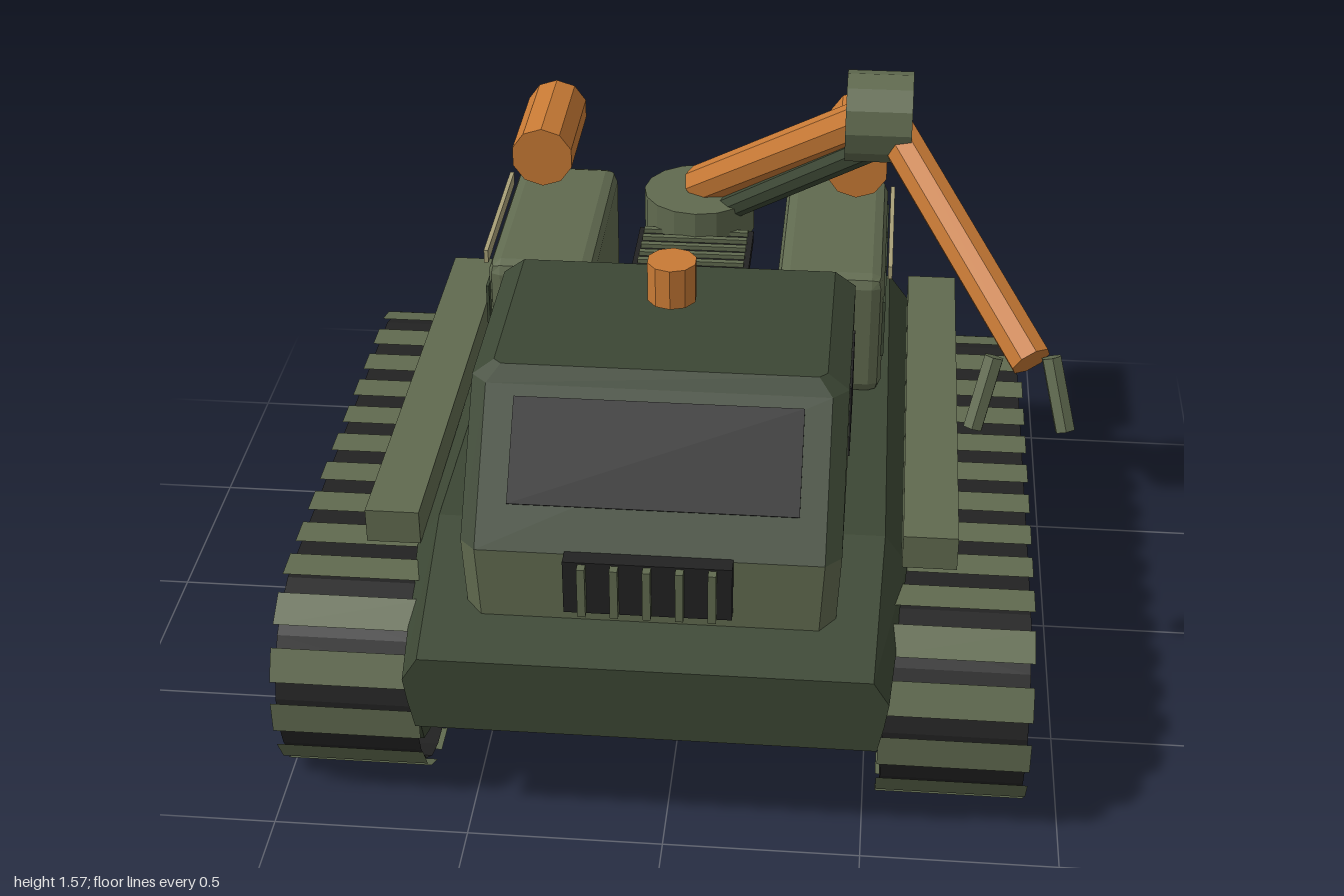
import * as THREE from 'three';
import { RoundedBoxGeometry } from 'three/addons/geometries/RoundedBoxGeometry.js';

const paint = (name, color, extra = {}) => {
  const m = new THREE.MeshStandardMaterial({ color, ...extra });
  m.name = name;
  return m;
};

// Faceted normals
function facet(geo) {
  const g = geo.index ? geo.toNonIndexed() : geo;
  g.computeVertexNormals();
  return g;
}

// Skin between cross-sections, capped at both ends; pick(ring, edge) gives a material index
function loft(rings, pick = () => 0) {
  const geo = new THREE.BufferGeometry();
  const pos = [];
  const n = rings[0].length;
  const add = (slot, ...pts) => {
    geo.addGroup(pos.length / 3, pts.length, slot);
    pts.forEach(p => pos.push(...p));
  };
  for (let i = 0; i < rings.length - 1; i++) {
    for (let k = 0; k < n; k++) {
      const a = rings[i][k], b = rings[i][(k + 1) % n];
      const c = rings[i + 1][(k + 1) % n], d = rings[i + 1][k];
      add(pick(i, k), a, b, c, a, c, d);
    }
  }
  const first = rings[0], last = rings[rings.length - 1];
  for (let k = 1; k < n - 1; k++) {
    add(pick(0, 0), first[0], first[k + 1], first[k]);
    add(pick(rings.length - 2, 0), last[0], last[k], last[k + 1]);
  }
  geo.setAttribute('position', new THREE.Float32BufferAttribute(pos, 3));
  geo.computeVertexNormals();
  return geo;
}

export function createModel() {
  const model = new THREE.Group();
  model.name = 'trackedVehicle';
  const body = new THREE.Group();
  body.name = 'vehicle';
  body.position.x = -0.045;
  model.add(body);

  const dark = paint('darkGreen', 0x3c4734);
  const light = paint('lightGreen', 0x606a4f);
  const orange = paint('orange', 0xc87a35);
  const black = paint('black', 0x222222);
  const beige = paint('beige', 0xa8a078);
  const belt = paint('beltBlack', 0x222222, { side: THREE.DoubleSide });
  const pad = paint('padGreen', 0x606a4f, { side: THREE.DoubleSide });

  const part = (name, geo, mat, x = 0, y = 0, z = 0, parent = body) => {
    const m = new THREE.Mesh(geo, mat);
    m.name = name;
    m.position.set(x, y, z);
    parent.add(m);
    return m;
  };
  const box = (name, mat, w, h, d, x, y, z) =>
    part(name, new THREE.BoxGeometry(w, h, d), mat, x, y, z);
  // Cylinder between two points
  const rod = (name, mat, r, sides, a, b) => {
    const p = new THREE.Vector3(...a), q = new THREE.Vector3(...b);
    const dir = q.clone().sub(p);
    const m = part(name, facet(new THREE.CylinderGeometry(r, r, dir.length(), sides)), mat);
    m.position.copy(p).add(q).multiplyScalar(0.5);
    m.quaternion.setFromUnitVectors(new THREE.Vector3(0, 1, 0), dir.normalize());
    return m;
  };

  // Hull: eight-sided section tapering to a sloped nose
  const hullRing = (z, half, y) => {
    const right = half.map((h, i) => [h, y[i], z]);
    return [...right, ...right.map(([x, py]) => [-x, py, z]).reverse()];
  };
  part('hull', loft([
    hullRing(-0.86, [0.575, 0.605, 0.62, 0.565], [0.325, 0.4, 0.58, 0.655]),
    hullRing(0.53, [0.575, 0.605, 0.635, 0.575], [0.325, 0.4, 0.575, 0.66]),
    hullRing(0.975, [0.575, 0.59, 0.6, 0.56], [0.325, 0.4, 0.47, 0.535]),
  ]), dark);

  // Cab: light lower body and sides, dark windscreen frame and roof
  const cabRing = (y, h, zf, c) => [
    [h, y, zf - c], [h, y, -0.01], [-h, y, -0.01],
    [-h, y, zf - c], [-h + c, y, zf], [h - c, y, zf],
  ];
  part('cab', loft([
    cabRing(0.575, 0.46, 0.83, 0.04), cabRing(0.77, 0.47, 0.83, 0.04),
    cabRing(1.085, 0.47, 0.56, 0.04), cabRing(1.125, 0.415, 0.53, 0.02),
  ], (ring, edge) => (ring === 0 || (ring === 1 && edge < 3) ? 0 : 1)), [light, dark]);
  const screen = box('windscreen', black, 0.72, 0.268, 0.009, 0.003, 0.962, 0.67);
  screen.rotation.x = -Math.atan2(0.27, 0.315);
  box('frontGrille', black, 0.415, 0.15, 0.045, 0, 0.7, 0.848);
  for (let i = -2; i <= 2; i++) box('grilleBar', light, 0.02, 0.14, 0.025, i * 0.08, 0.7, 0.882);
  part('roofHatch', facet(new THREE.CylinderGeometry(0.065, 0.065, 0.11, 10)), orange, 0, 1.195, 0.19);

  // Engine vent behind the cab
  box('engineVent', black, 0.33, 0.03, 0.28, 0, 0.925, -0.43);
  for (let i = 0; i < 6; i++) box('ventSlat', light, 0.3, 0.015, 0.018, 0, 0.945, -0.545 + i * 0.046);

  // Parts mirrored on both sides
  const wheelGeo = facet(new THREE.CylinderGeometry(0.215, 0.215, 0.34, 8).rotateZ(Math.PI / 2));
  const hubGeo = facet(new THREE.CylinderGeometry(0.09, 0.09, 0.355, 8).rotateZ(Math.PI / 2));
  const boxGeo = facet(new RoundedBoxGeometry(0.295, 0.37, 0.635, 1, 0.035));
  const exhaustGeo = facet(new THREE.CylinderGeometry(0.09, 0.09, 0.345, 10).rotateX(Math.PI / 2));

  // Belt: open ring stretched between the end wheels
  const run = 0.615, padR = 0.28, midY = 0.285, midZ = 0.025;
  const ring = new THREE.CylinderGeometry(0.266, 0.266, 0.36, 20, 1, true, Math.PI / 20).rotateZ(Math.PI / 2);
  const rp = ring.attributes.position;
  for (let i = 0; i < rp.count; i++) rp.setZ(i, rp.getZ(i) + Math.sign(rp.getZ(i)) * run);
  const beltGeo = facet(ring);
  const padGeo = new THREE.PlaneGeometry(0.38, 0.088).rotateX(-Math.PI / 2);

  // Place on the belt path: z, y and outward angle from the top towards the front
  const arc = Math.PI * padR, loop = 4 * run + 2 * arc;
  const onPath = s => {
    if (s < 2 * run) return [s - run, padR, 0];
    s -= 2 * run;
    if (s < arc) return [run + padR * Math.sin(s / padR), padR * Math.cos(s / padR), s / padR];
    s -= arc;
    if (s < 2 * run) return [run - s, -padR, Math.PI];
    const a = Math.PI + (s - 2 * run) / padR;
    return [-run + padR * Math.sin(a), padR * Math.cos(a), a];
  };

  for (const s of [1, -1]) {
    const tx = s * 0.767;
    const track = new THREE.Group();
    track.name = s > 0 ? 'leftTrack' : 'rightTrack';
    body.add(track);
    part('trackBelt', beltGeo, belt, tx, midY, midZ, track);
    const pads = 29;
    for (let i = 0; i < pads; i++) {
      const [z, y, a] = onPath((i + 0.5) * loop / pads);
      part('trackPad', padGeo, pad, tx, midY + y, midZ + z, track).rotation.x = a;
    }
    for (let i = 0; i < 4; i++) {
      const z = 0.64 - i * 0.41;
      part('wheel', wheelGeo, dark, tx, midY, z, track);
      part('wheelHub', hubGeo, light, tx, midY, z, track);
    }
    box('fender', light, 0.14, 0.095, 1.37, s * 0.69, 0.642, -0.115);
    box('sideWindow', black, 0.008, 0.2, 0.29, s * 0.471, 0.95, 0.31);

    // Rear storage box with panels and trim
    part('storageBox', boxGeo, light, s * 0.4, 0.835, -0.485);
    for (let i = 0; i < 3; i++) box('boxPanel', dark, 0.008, 0.17, 0.172, s * 0.548, 0.865, -0.252 - i * 0.208);
    box('boxTrim', beige, 0.012, 0.038, 0.49, s * 0.561, 1.003, -0.485);
    part('exhaust', exhaustGeo, orange, s * 0.455, 1.122, -0.803);
  }

  // Crane arm
  part('armBase', facet(new THREE.CylinderGeometry(0.16, 0.16, 0.12, 16)), light, 0, 0.965, -0.66);
  rod('upperArm', orange, 0.058, 8, [0, 1.03, -0.68], [0.5, 1.45, -0.29]);
  rod('armPiston', dark, 0.036, 8, [0.09, 1.0, -0.6], [0.49, 1.355, -0.285]);
  rod('elbow', light, 0.122, 12, [0.425, 1.453, -0.283], [0.6, 1.453, -0.283]);
  rod('forearm', orange, 0.055, 8, [0.555, 1.43, -0.25], [0.925, 1.045, 0.275]);
  rod('leftFinger', light, 0.027, 6, [0.975, 1.06, 0.275], [1.02, 0.885, 0.345]);
  rod('rightFinger', light, 0.027, 6, [0.83, 1.06, 0.285], [0.785, 0.885, 0.35]);

  return model;
}
